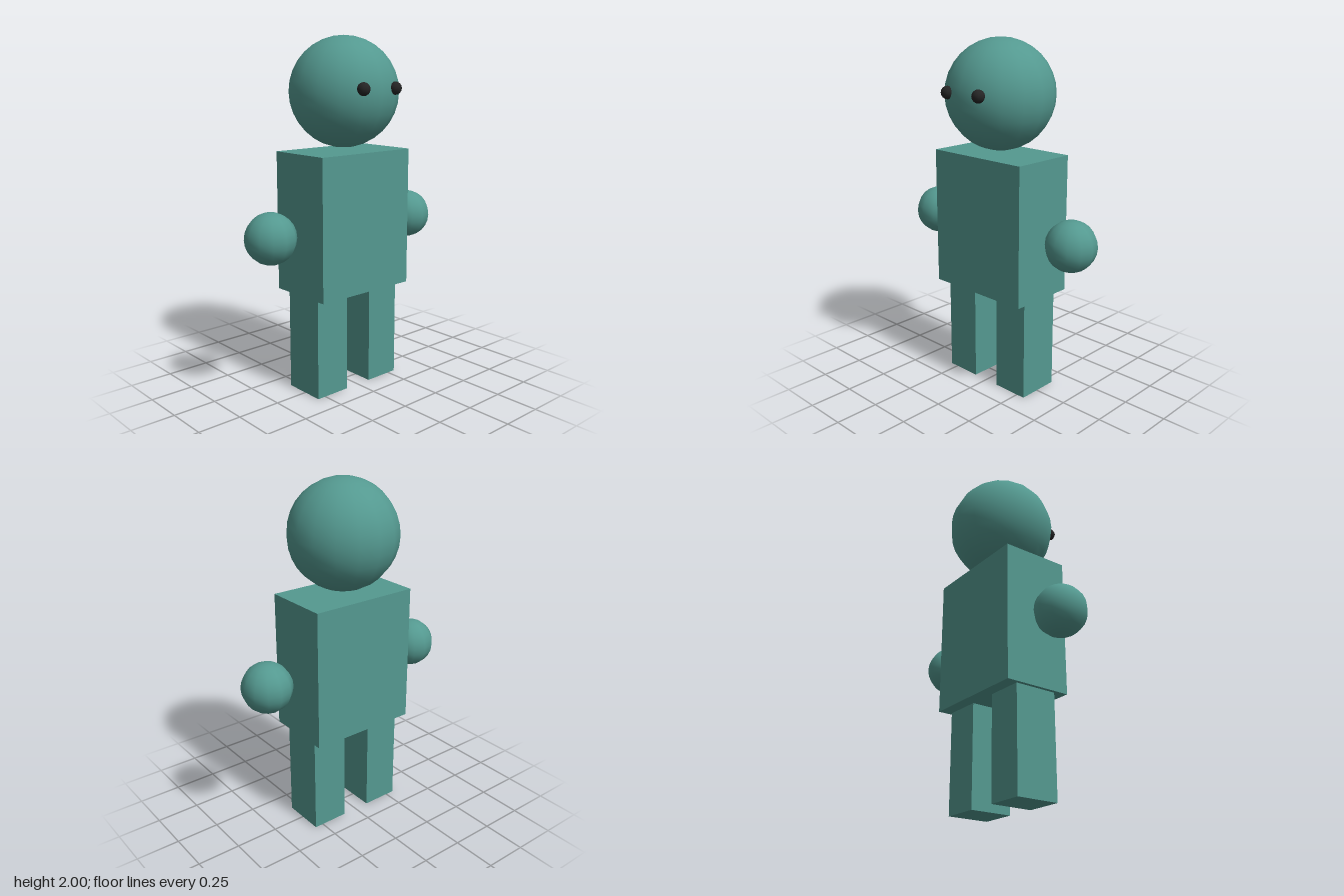
import * as THREE from 'three';

const teal = new THREE.MeshStandardMaterial({ name: 'teal', color: 0x549990 });
const black = new THREE.MeshStandardMaterial({ name: 'black', color: 0x252525 });

const Z = -0.008; // depth of the body's centre plane

export function createModel() {
  const model = new THREE.Group();
  model.name = 'blockFigure';

  const add = (name, geometry, material, x, y, z = Z) => {
    const mesh = new THREE.Mesh(geometry, material);
    mesh.name = name;
    mesh.position.set(x, y, z);
    model.add(mesh);
  };

  // Head and torso
  add('head', new THREE.SphereGeometry(0.307, 16, 16), teal, 0, 1.693);
  add('torso', new THREE.BoxGeometry(0.644, 0.79, 0.394), teal, 0, 0.975);

  // Mirrored pairs
  const hand = new THREE.SphereGeometry(0.142, 12, 12);
  const leg = new THREE.BoxGeometry(0.214, 0.58, 0.25);
  const eye = new THREE.SphereGeometry(0.036, 8, 8);
  for (const [side, s] of [['left', 1], ['right', -1]]) {
    add(side + 'Hand', hand, teal, s * 0.517, 0.938);
    add(side + 'Leg', leg, teal, s * 0.194, 0.29);
    add(side + 'Eye', eye, black, s * 0.116, 1.717, 0.277);
  }

  return model;
}
